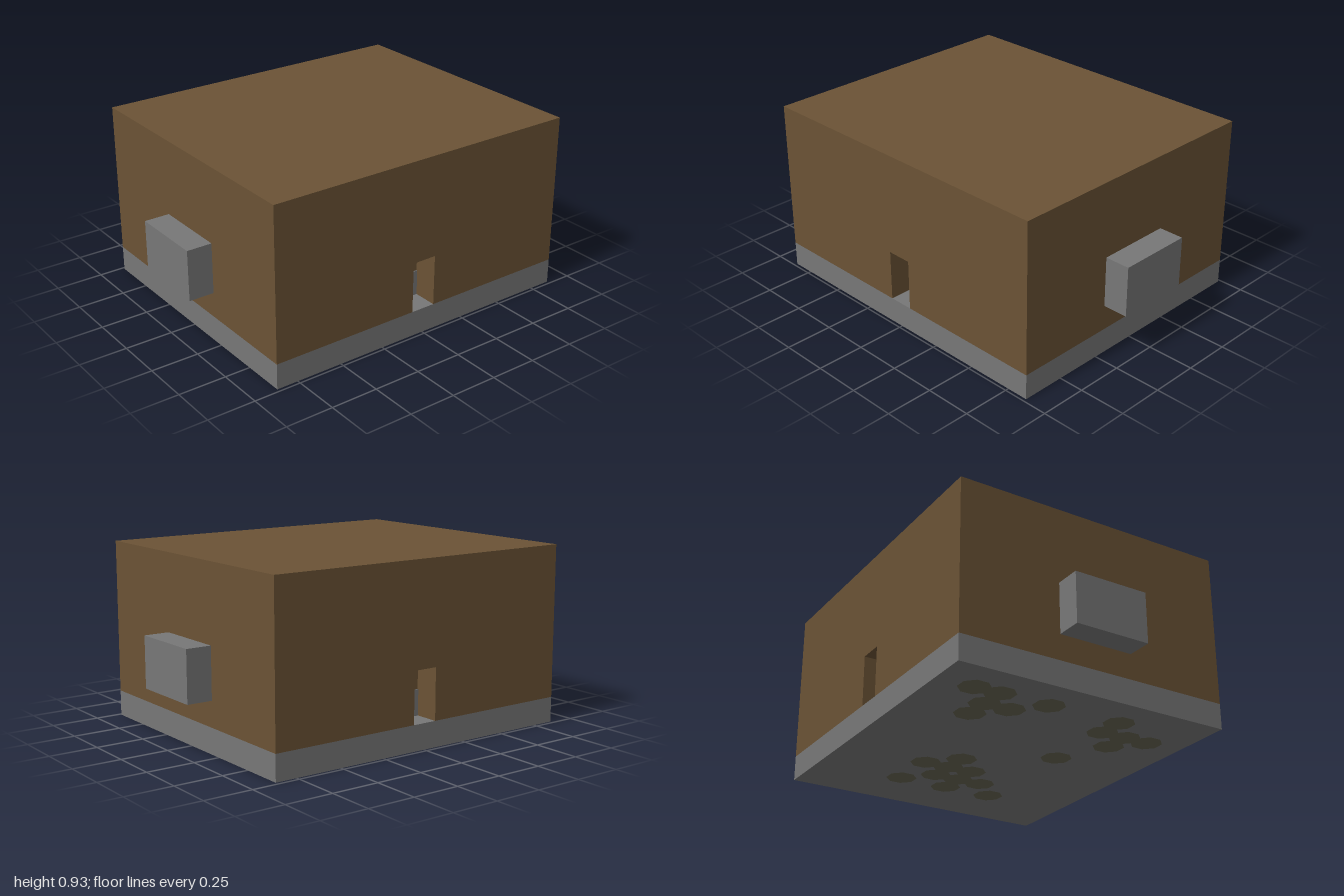
import * as THREE from 'three';

const U = 2 / 30; // modelling unit

export function createModel() {
  const model = new THREE.Group();
  model.name = 'blockBuilding';

  const mat = (name, color) => {
    const m = new THREE.MeshStandardMaterial({ color });
    m.name = name;
    return m;
  };
  const brown = mat('earthBrown', 0x6b5335);
  const grey = mat('stoneGrey', 0x777777);
  const moss = mat('mossGrey', 0x686652);

  const add = (name, geometry, material) => {
    const mesh = new THREE.Mesh(geometry, material);
    mesh.name = name;
    model.add(mesh);
    return mesh;
  };
  // Box given by its size and the centre of its underside, in units
  const box = (name, material, w, h, d, x, y, z) =>
    add(name, new THREE.BoxGeometry(w * U, h * U, d * U), material)
      .position.set(x * U, (y + h / 2) * U, z * U);

  // Stone foundation
  box('foundation', grey, 22, 2, 26, 0, 0, 0);

  // Lower walls: plan with a doorway recess in each side
  const plan = new THREE.Shape([
    [-11, -13], [11, -13], [11, -1], [9, -1], [9, 1], [11, 1],
    [11, 13], [-11, 13], [-11, 1], [-9, 1], [-9, -1], [-11, -1],
  ].map(([x, z]) => new THREE.Vector2(x * U, z * U)));
  const lower = new THREE.ExtrudeGeometry(plan, { depth: 4 * U, bevelEnabled: false });
  lower.rotateX(-Math.PI / 2);
  add('lowerWalls', lower, brown).position.y = 2 * U;

  // Upper walls and flat roof
  box('upperWallsAndRoof', brown, 22, 8, 26, 0, 6, 0);

  for (const s of [-1, 1]) {
    // Stone lower half of the doorway back
    box(s > 0 ? 'leftDoorPanel' : 'rightDoorPanel', grey, 0.08, 2, 2, s * 9.04, 2, 0);
    // Stone block on each end wall
    box(s > 0 ? 'frontBlock' : 'backBlock', grey, 6, 4, 2, 0, 4, s * 14);
  }

  // Mossy patches under the foundation
  const patches = [
    [4, -8], [4, 2], [-4, -8], [-2, 10],
    [8, 8], [6, 6], [6, 8], [4, 8], [4, 10],
    [2, -6], [0, -8], [0, -6], [-2, -6], [0, -4], [-2, -4], [-2, -2], [-4, -4],
    [-4, 8], [-6, 6], [-6, 8], [-6, 10], [-8, 10],
  ];
  const disc = new THREE.CircleGeometry(1.2 * U, 8, Math.PI / 8);
  disc.rotateX(Math.PI / 2);
  patches.forEach(([x, z], i) =>
    add('undersidePatch' + (i + 1), disc, moss).position.set(x * U, -0.001, z * U));

  return model;
}
